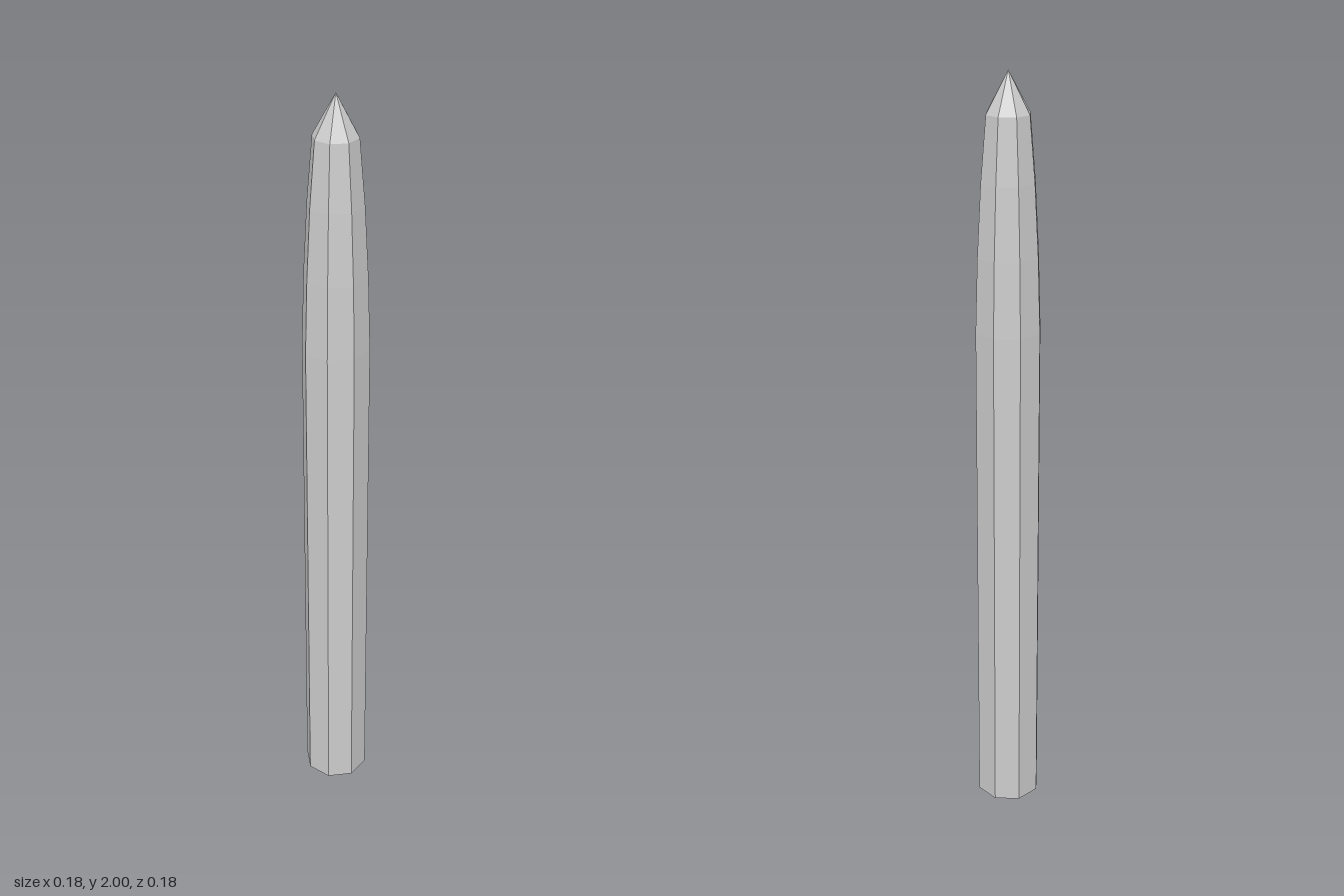
import * as THREE from 'three';

export function createModel() {
  const group = new THREE.Group();
  group.name = 'pointedPost';
  const material = new THREE.MeshStandardMaterial({ color: 0xcccccc, flatShading: true });

  // Revolves [radius, height] pairs, listed bottom to top, into an eight-sided part
  const addTurned = (name, profile) => {
    const points = profile.map(([r, y]) => new THREE.Vector2(r, y));
    const mesh = new THREE.Mesh(new THREE.LatheGeometry(points, 8), material);
    mesh.name = name;
    group.add(mesh);
  };

  // Closed base and nearly straight shaft
  addTurned('shaft', [[0, 0], [0.088, 0], [0.086, 1.37]]);

  // Shoulder curving inward
  addTurned('taperedShoulder', [[0.086, 1.37], [0.08, 1.56], [0.07, 1.74], [0.056, 1.9]]);

  // Faceted point
  addTurned('tip', [[0.056, 1.9], [0, 2]]);

  return group;
}
